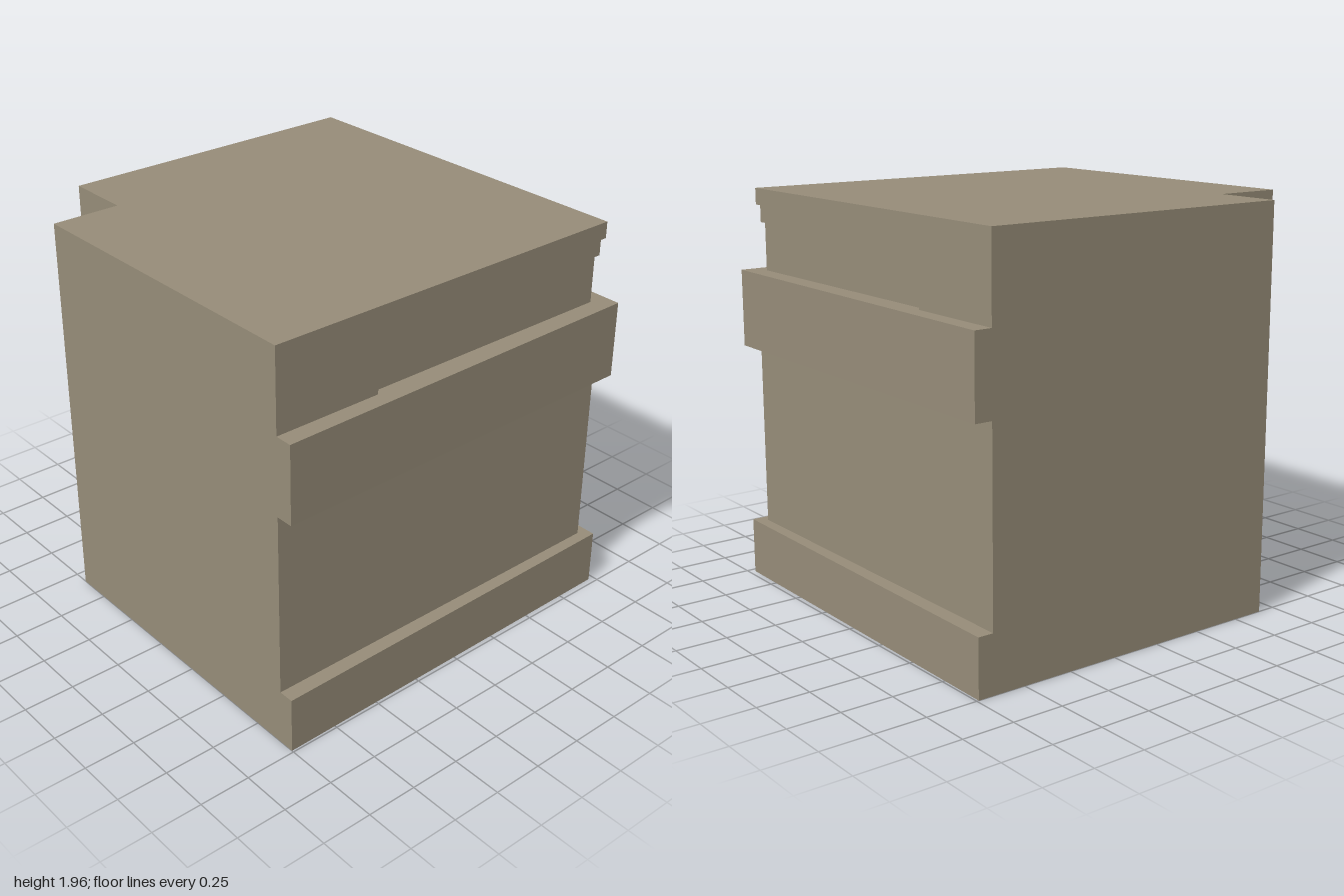
import * as THREE from 'three';

// Footprint with a notched front corner; corner and far set how far the two outer walls reach
const footprint = (corner, far) => [
  [-1, -far], [corner, -corner], [far, 1], [-0.67, 1], [-0.67, 0.66], [-1, 0.66],
];

// Footprint whose side and back walls step inwards near the shared corner
const recessed = (inner) => [
  [-1, -0.915], [-0.49, -0.915], [-0.49, -inner], [inner, -inner], [inner, 0.463],
  [0.915, 0.463], [0.915, 1], [-0.67, 1], [-0.67, 0.66], [-1, 0.66],
];

export function createModel() {
  const group = new THREE.Group();
  const stone = new THREE.MeshStandardMaterial({ color: 0x968c78 });
  stone.name = 'stone';

  // Stacked storeys, from the ground up
  const layers = [
    ['baseBand', 0, 0.278, footprint(0.97, 0.99)],
    ['lowerWall', 0.278, 1.178, footprint(0.915, 0.915)],
    ['upperBand', 1.178, 1.555, footprint(0.975, 1)],
    ['deepRecess', 1.555, 1.79, recessed(0.885)],
    ['shallowRecess', 1.79, 1.875, recessed(0.9)],
    ['roofSlab', 1.875, 1.955, footprint(0.915, 0.915)],
  ];
  for (const [name, y0, y1, outline] of layers) {
    const shape = new THREE.Shape(outline.map(([x, z]) => new THREE.Vector2(x, -z)));
    const geometry = new THREE.ExtrudeGeometry(shape, { depth: y1 - y0, bevelEnabled: false });
    geometry.rotateX(-Math.PI / 2);
    const mesh = new THREE.Mesh(geometry, stone);
    mesh.name = name;
    mesh.position.y = y0;
    group.add(mesh);
  }
  return group;
}
